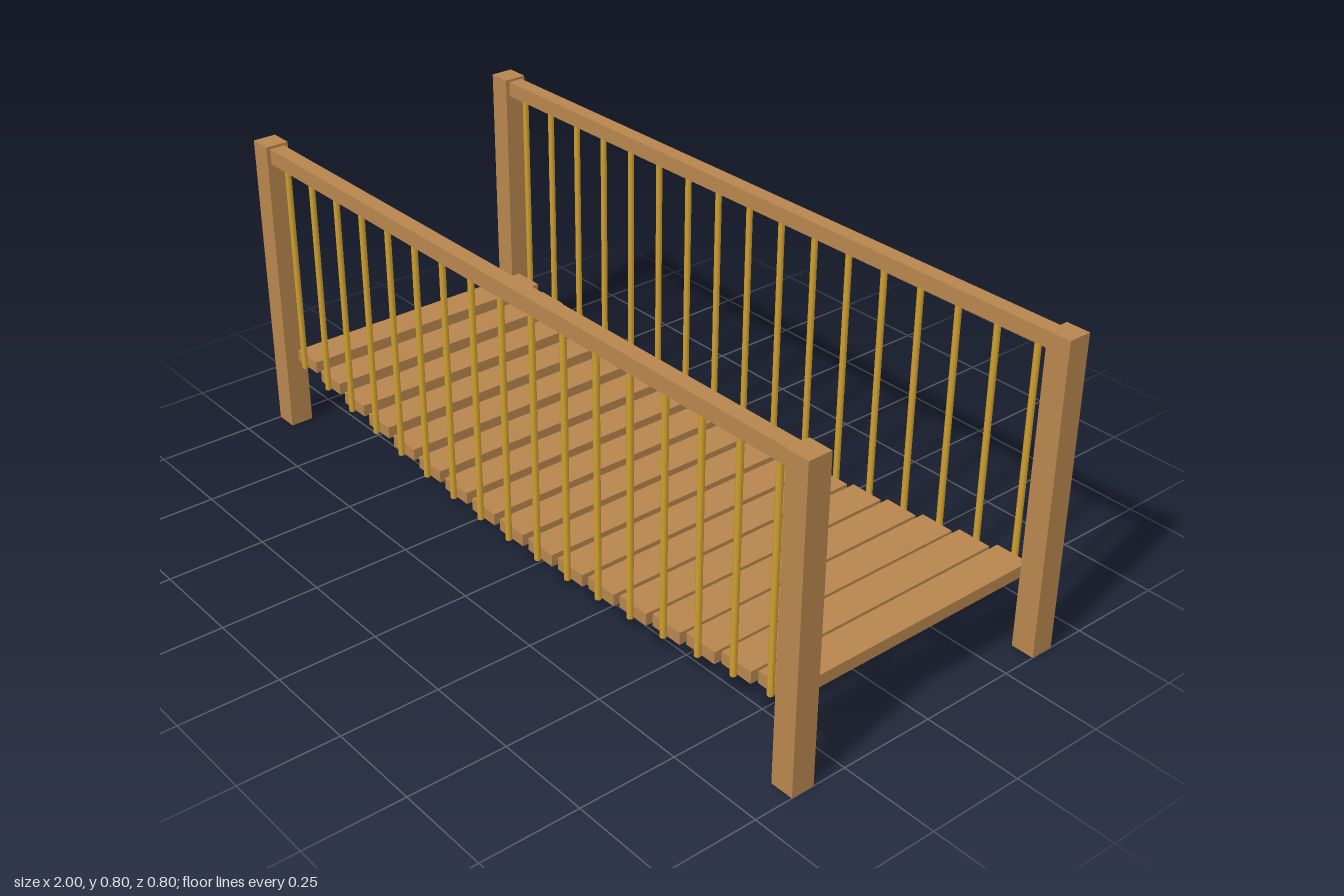
import * as THREE from 'three';

export function createModel() {
  const bridge = new THREE.Group();
  bridge.name = 'plankBridge';
  const wood = new THREE.MeshStandardMaterial({ color: 0xb8864e });
  wood.name = 'wood';
  const rope = new THREE.MeshStandardMaterial({ color: 0xd0a030 });
  rope.name = 'rope';

  const add = (name, geometry, material, x, y, z) => {
    const mesh = new THREE.Mesh(geometry, material);
    mesh.name = name;
    mesh.position.set(x, y, z);
    bridge.add(mesh);
  };

  const count = 17, reach = 0.895, sideZ = 0.37, railY = 0.773;
  const postGeometry = new THREE.BoxGeometry(0.061, 0.8, 0.061);
  const railGeometry = new THREE.BoxGeometry(1.88, 0.04, 0.04);
  const plankGeometry = new THREE.BoxGeometry(0.09, 0.031, 0.725);

  // Corner posts and handrails
  for (const side of [-1, 1]) {
    for (const end of [-1, 1]) add('post', postGeometry, wood, end * 0.9695, 0.4, side * 0.3695);
    add('handrail', railGeometry, wood, 0, railY, side * sideZ);
  }

  // Sagging deck planks, each with a hanging rope against both ends
  for (let i = 0; i < count; i++) {
    const t = i / (count - 1);
    const x = (t * 2 - 1) * reach;
    const bottom = 0.185 - 0.081 * Math.sin(Math.PI * t);
    add('plank', plankGeometry, wood, x, bottom + 0.0155, 0);

    const length = railY - 0.01 - bottom;
    const ropeGeometry = new THREE.CylinderGeometry(0.008, 0.008, length, 8);
    for (const side of [-1, 1]) {
      add('hangerRope', ropeGeometry, rope, x, bottom + length / 2, side * sideZ);
    }
  }
  return bridge;
}
